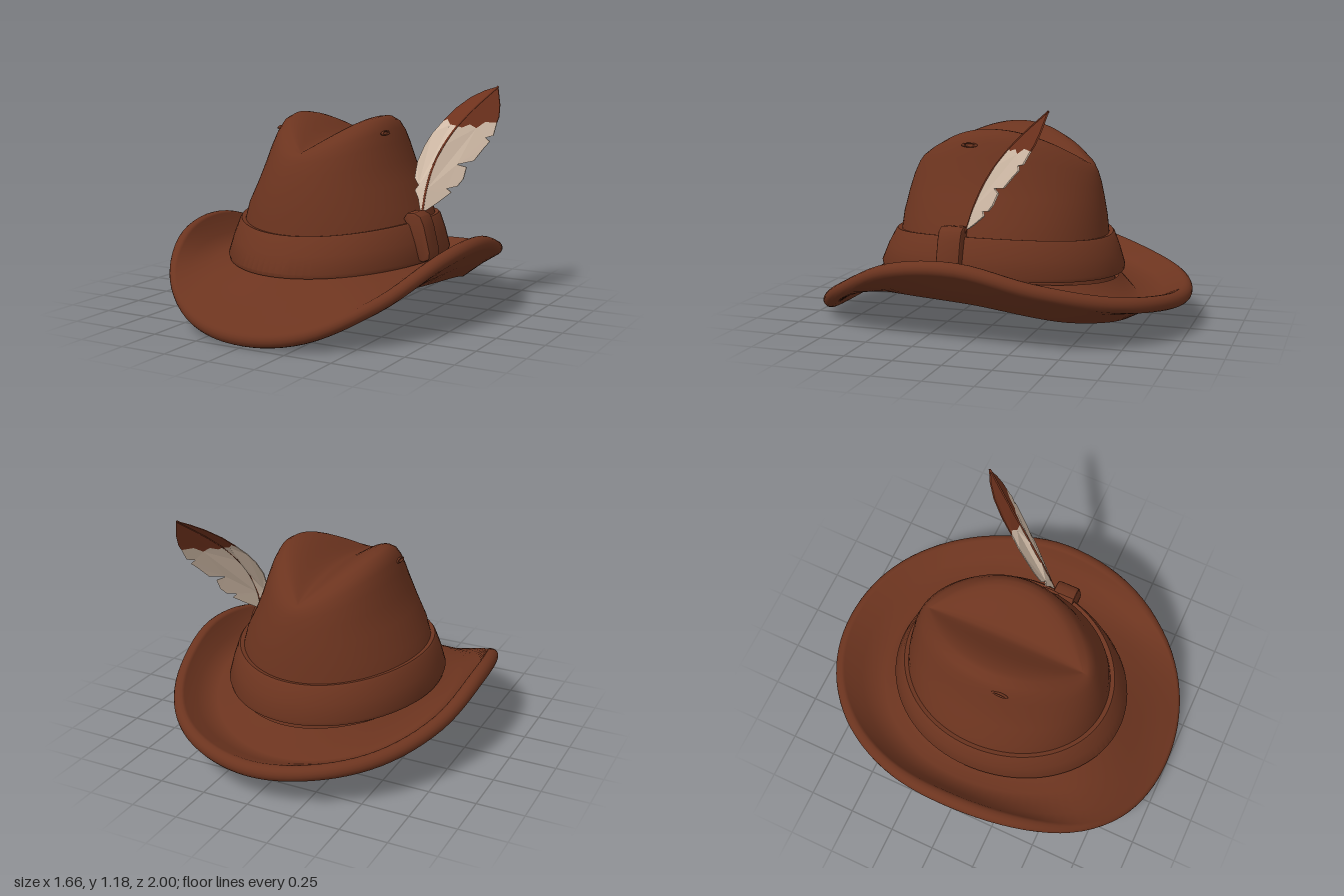
import * as THREE from 'three';
import { mergeVertices, toCreasedNormals } from 'three/addons/utils/BufferGeometryUtils.js';

const SEG = 96;

// Loft closed loops; point(k, t) gives [x, y, z] of loop k at angle t (0 = front, PI = back)
function loft(loops, point) {
  const pos = [], idx = [];
  for (let k = 0; k < loops; k++)
    for (let i = 0; i < SEG; i++) pos.push(...point(k, (i / SEG) * Math.PI * 2));
  for (let k = 0; k < loops - 1; k++)
    for (let i = 0; i < SEG; i++) {
      const j = (i + 1) % SEG, a = k * SEG + i, b = k * SEG + j;
      idx.push(a, b, b + SEG, a, b + SEG, a + SEG);
    }
  let g = new THREE.BufferGeometry();
  g.setAttribute('position', new THREE.Float32BufferAttribute(pos, 3));
  g.setIndex(idx);
  g = mergeVertices(g, 1e-4);
  g.computeVertexNormals();
  return g;
}

// Smooth value from keys spread evenly from front to back, mirrored left and right
function around(keys, t) {
  const n = keys.length - 1;
  const s = (t > Math.PI ? 2 * Math.PI - t : t) / Math.PI * n;
  const i = Math.min(Math.floor(s), n - 1), f = s - i;
  const at = (q) => keys[q < 0 ? -q : q > n ? 2 * n - q : q];
  const [a, b, c, d] = [at(i - 1), at(i), at(i + 1), at(i + 2)];
  return b + 0.5 * f * (c - a + f * (2 * a - 5 * b + 4 * c - d + f * (3 * (b - c) + d - a)));
}

// Egg-shaped loop: half width, front reach, back reach
const egg = (t, x, zf, zb, y) => [x * Math.sin(t), y, Math.cos(t) * (Math.cos(t) > 0 ? zf : zb)];

// Crown loop: half width, side height, front reach, front height, back reach, back height, pinch
function crownLoop([w, ys, zf, yf, zb, yb, pinch], t) {
  const s = Math.sin(t);
  const end = yb + (yf - yb) * (Math.cos(t) + 1) / 2;
  const p = egg(t, w, zf, zb, end + (ys - end) * s * s);
  p[0] *= Math.pow(Math.abs(s), pinch);
  return p;
}

const crownRings = [
  [0.495, 0.48, 0.575, 0.46, 0.555, 0.45, 0],
  [0.465, 0.58, 0.56, 0.57, 0.545, 0.56, 0],
  [0.405, 0.70, 0.535, 0.68, 0.53, 0.66, 0.02],
  [0.365, 0.80, 0.51, 0.765, 0.515, 0.74, 0.06],
  [0.335, 0.90, 0.485, 0.825, 0.5, 0.795, 0.14],
  [0.312, 0.97, 0.465, 0.855, 0.485, 0.83, 0.26],
  [0.29, 1.015, 0.445, 0.868, 0.467, 0.845, 0.45],
  [0.255, 1.035, 0.425, 0.87, 0.45, 0.85, 0.7],
];

function brimGeometry() {
  const rimY = [0.04, 0.08, 0.215, 0.37, 0.405, 0.315, 0.24, 0.2, 0.18];
  const troughY = [0.15, 0.235, 0.245, 0.14, 0.092];
  const innerTop = [0.29, 0.305, 0.31, 0.275, 0.25];
  const innerLow = [0.205, 0.22, 0.205, 0.1, 0.066];
  const rise = [0.52, 0.48, 0.47, 0.65, 0.78]; // how much of the climb is done half way out
  const R = 0.04, ROLL = 9;
  return loft(ROLL + 9, (k, t) => {
    const rim = around(rimY, t), tr = around(troughY, t), low = around(innerLow, t);
    const mid = tr + (rim - tr) * around(rise, t);
    const tilt = Math.atan2(rim - mid, 0.08);
    // fuller corners, more so at the front
    const full = 1 + (Math.cos(t) > 0 ? 0.035 : 0.01) * Math.sin(2 * t) ** 2;
    const outer = (x, zf, zb, centre, off, angle) => {
      const o = off * Math.cos(angle);
      return egg(t, x * full + o, zf * full + o, zb * full + o, centre + off * Math.sin(angle));
    };
    if (k === 0) return crownLoop(crownRings[0], t);
    if (k === 1) return egg(t, 0.51, 0.598, 0.575, 0.34);
    if (k === 2) return egg(t, 0.527, 0.622, 0.602, low + 0.05);
    if (k === 3) return egg(t, 0.56, 0.66, 0.645, low);
    if (k === 4) return egg(t, 0.645, 0.79, 0.705, tr - 0.035);
    if (k === 5) return outer(0.715, 0.88, 0.83, mid, 0.036, tilt - Math.PI / 2);
    if (k < 6 + ROLL)
      return outer(0.79, 0.96, 0.96, rim, R, tilt - Math.PI / 2 + (Math.PI * (k - 6)) / (ROLL - 1));
    if (k === 6 + ROLL) return outer(0.728, 0.897, 0.85, mid, 0.012, tilt + Math.PI / 2);
    if (k === 7 + ROLL) return egg(t, 0.635, 0.79, 0.715, tr + 0.03);
    return egg(t, 0.53, 0.64, 0.61, around(innerTop, t));
  });
}

function crownGeometry() {
  const STEPS = 8, last = crownRings.length - 1;
  const [, , , yf, , yb] = crownRings[last];
  return loft(crownRings.length + STEPS, (k, t) => {
    const p = crownLoop(crownRings[Math.min(k, last)], t);
    if (k > last) { // pinched crease sinking to the centre line
      const f = 1 - (k - last) / STEPS;
      const end = yb + (yf - yb) * (Math.cos(t) + 1) / 2;
      const valley = end + (0.918 - end) * Math.sin(t) ** 2;
      p[0] *= f;
      p[1] = valley + (p[1] - valley) * Math.sin(f * Math.PI / 2) ** 1.35;
    }
    return p;
  });
}

function bandGeometry() {
  // half width, front reach, back reach, side height, end height
  const rings = [
    [0.52, 0.63, 0.6, 0.315, 0.285],
    [0.562, 0.682, 0.637, 0.31, 0.28],
    [0.568, 0.686, 0.64, 0.33, 0.3],
    [0.545, 0.65, 0.615, 0.42, 0.385],
    [0.517, 0.606, 0.585, 0.505, 0.465],
    [0.508, 0.597, 0.575, 0.516, 0.476],
    [0.475, 0.56, 0.54, 0.51, 0.47],
  ];
  return toCreasedNormals(loft(rings.length, (k, t) => {
    const [w, zf, zb, ys, ye] = rings[k];
    return egg(t, w, zf, zb, ye + (ys - ye) * Math.sin(t) ** 2);
  }), 0.6);
}

// Quill line of the feather in front elevation, from root to tip
const lowQuill = [[0.5, 0.56], [0.502, 0.66], [0.515, 0.78], [0.54, 0.88], [0.58, 0.98]];
const highQuill = [[0.58, 0.98], [0.63, 1.065], [0.71, 1.175]];
const quillLine = [...lowQuill, ...highQuill.slice(1)];

function quillX(y) {
  const i = Math.max(1, quillLine.findIndex((q) => q[1] >= y - 1e-6));
  const [[x0, y0], [x1, y1]] = [quillLine[i - 1], quillLine[i]];
  return x0 + (x1 - x0) * THREE.MathUtils.clamp((y - y0) / (y1 - y0), 0, 1);
}

// Feather leans back and bows forward along the quill, both vanes falling away from it
function featherZ(x, y) {
  const q = quillX(y);
  const bow = 0.05 * Math.sin(Math.PI * THREE.MathUtils.clamp((y - 0.56) / 0.615, 0, 1));
  return 0.05 - 0.575 * (q - 0.5) - 0.585 * (y - 0.56) + bow - (x < q ? 0.15 : 0.95) * (x - q);
}

function vaneGeometry(points) {
  const shape = new THREE.Shape(points.map(([x, y]) => new THREE.Vector2(x, y)));
  const g = new THREE.ExtrudeGeometry(shape, { depth: 0.008, bevelEnabled: false });
  const p = g.attributes.position;
  for (let i = 0; i < p.count; i++) p.setZ(i, p.getZ(i) - 0.004 + featherZ(p.getX(i), p.getY(i)));
  g.computeVertexNormals();
  return g;
}

export function createModel() {
  const felt = new THREE.MeshStandardMaterial({ color: 0x6c341f, side: THREE.DoubleSide });
  felt.name = 'brown felt';
  const cream = new THREE.MeshStandardMaterial({ color: 0xd2bca8, side: THREE.DoubleSide });
  cream.name = 'feather cream';
  const tipBrown = new THREE.MeshStandardMaterial({ color: 0x6f321d, side: THREE.DoubleSide });
  tipBrown.name = 'feather brown';

  const hat = new THREE.Group();
  hat.name = 'hat';
  const add = (name, geometry, material, parent = hat) => {
    const m = new THREE.Mesh(geometry, material);
    m.name = name;
    parent.add(m);
    return m;
  };

  add('brim', brimGeometry(), felt);
  add('crown', crownGeometry(), felt);
  add('hatBand', bandGeometry(), felt);

  // Strap loop wrapped over the band, holding the feather
  const loop = new THREE.Shape([[0.465, 0.535], [0.48, 0.557], [0.515, 0.56], [0.545, 0.545], [0.565, 0.5],
    [0.597, 0.37], [0.594, 0.34], [0.57, 0.33], [0.54, 0.33], [0.49, 0.5]].map((p) => new THREE.Vector2(...p)));
  const strap = add('bandLoop', toCreasedNormals(new THREE.ExtrudeGeometry(loop, {
    depth: 0.1, bevelSize: 0.008, bevelThickness: 0.012, bevelSegments: 2,
  }), 0.7), felt);
  strap.position.z = 0.07;

  // Vent eyelets on both sides of the crown
  for (const side of [1, -1]) {
    const vent = add(side > 0 ? 'leftVent' : 'rightVent', new THREE.TorusGeometry(0.032, 0.01, 8, 24), felt);
    vent.scale.set(1.1, 0.3, 0.8);
    vent.position.set(side * 0.31, 0.955, 0.1);
    vent.rotation.set(0, side * Math.PI / 2, side * 0.2, 'ZYX');
  }

  // Feather: ragged pale vanes, dark tip and quill
  const feather = new THREE.Group();
  feather.name = 'feather';
  hat.add(feather);
  const leftEdge = [[0.495, 1.0], [0.515, 1.01], [0.54, 0.985]];
  const rightEdge = [[0.6, 0.97], [0.63, 0.985], [0.66, 0.965], [0.69, 0.995], [0.738, 0.99]];
  add('featherInnerVane', vaneGeometry([
    ...leftEdge, ...[...lowQuill].reverse(), [0.49, 0.56], [0.47, 0.62], [0.445, 0.66], [0.46, 0.685],
    [0.432, 0.72], [0.428, 0.8], [0.442, 0.88], [0.462, 0.94],
  ]), cream, feather);
  add('featherOuterVane', vaneGeometry([
    ...lowQuill, ...rightEdge, [0.735, 0.925], [0.705, 0.915], [0.725, 0.895], [0.705, 0.86],
    [0.675, 0.8], [0.61, 0.785], [0.65, 0.77], [0.645, 0.71], [0.625, 0.675], [0.585, 0.665],
    [0.605, 0.645], [0.55, 0.59], [0.515, 0.56],
  ]), cream, feather);
  add('featherInnerTip', vaneGeometry([
    ...leftEdge, ...highQuill, [0.65, 1.155], [0.59, 1.12], [0.535, 1.065],
  ]), tipBrown, feather);
  add('featherOuterTip', vaneGeometry([
    ...rightEdge, [0.742, 1.02], [0.735, 1.08], ...[...highQuill].reverse(),
  ]), tipBrown, feather);
  const quill = new THREE.CatmullRomCurve3([[0.5, 0.48], ...quillLine]
    .map(([x, y]) => new THREE.Vector3(x, y, featherZ(x, y))));
  add('quill', new THREE.TubeGeometry(quill, 32, 0.006, 6), tipBrown, feather);

  return hat;
}
